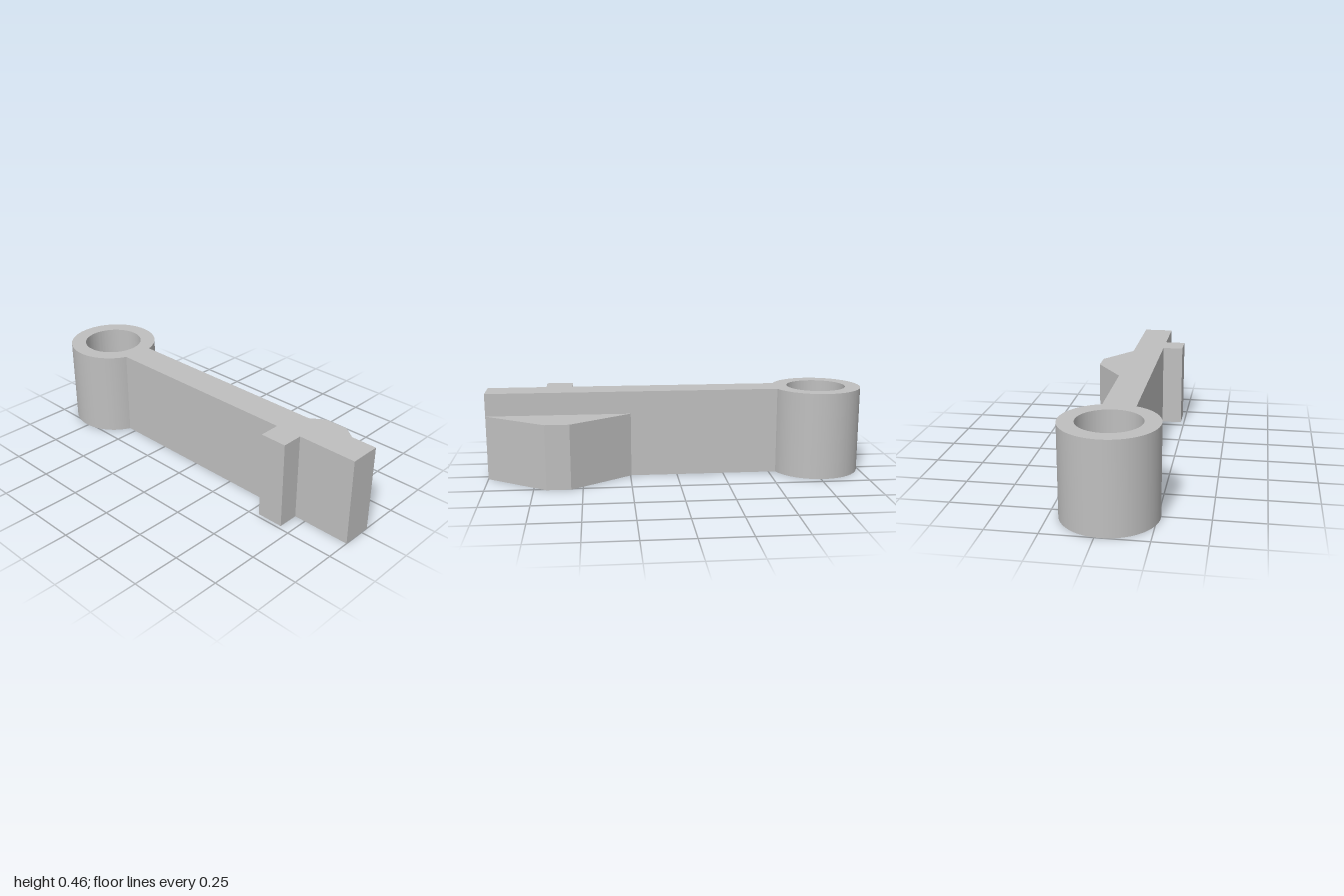
import * as THREE from 'three';
import { toCreasedNormals } from 'three/addons/utils/BufferGeometryUtils.js';

const HEIGHT = 0.458, WEDGE_HEIGHT = 0.339;
const BACK = 0.044, FRONT = -0.12;        // plan coordinates: shape y = -z
const RING = { x: -0.763, y: -0.029, outer: 0.237, inner: 0.157 };

// Extrude a plan outline upward from y = 0
function prism(name, shape, height, material) {
  const geo = new THREE.ExtrudeGeometry(shape, { depth: height, bevelEnabled: false, curveSegments: 72 });
  geo.rotateX(-Math.PI / 2);
  const mesh = new THREE.Mesh(toCreasedNormals(geo, 0.4), material);
  mesh.name = name;
  return mesh;
}

export function createModel() {
  const group = new THREE.Group();
  group.name = 'leverArm';
  const grey = new THREE.MeshStandardMaterial({ color: 0xbfbfbf });
  grey.name = 'light grey';

  // Lever body: pivot ring, straight bar and front tab in one outline
  const body = new THREE.Shape();
  const a0 = Math.asin((BACK - RING.y) / RING.outer);
  const a1 = 2 * Math.PI + Math.asin((FRONT - RING.y) / RING.outer);
  body.absarc(RING.x, RING.y, RING.outer, a0, a1, false);
  [[0.55, FRONT], [0.55, -0.231], [0.69, -0.231], [0.69, FRONT], [1, FRONT], [1, BACK]]
    .forEach(([x, y]) => body.lineTo(x, y));
  body.closePath();
  const bore = new THREE.Path();
  bore.absarc(RING.x, RING.y, RING.inner, 0, Math.PI * 2, true);
  body.holes.push(bore);
  group.add(prism('leverBody', body, HEIGHT, grey));

  // Lower trapezoid cam on the back of the bar
  const cam = new THREE.Shape([[0.245, BACK], [1, BACK], [0.685, 0.265], [0.56, 0.265]]
    .map(([x, y]) => new THREE.Vector2(x, y)));
  group.add(prism('backCam', cam, WEDGE_HEIGHT, grey));

  return group;
}
